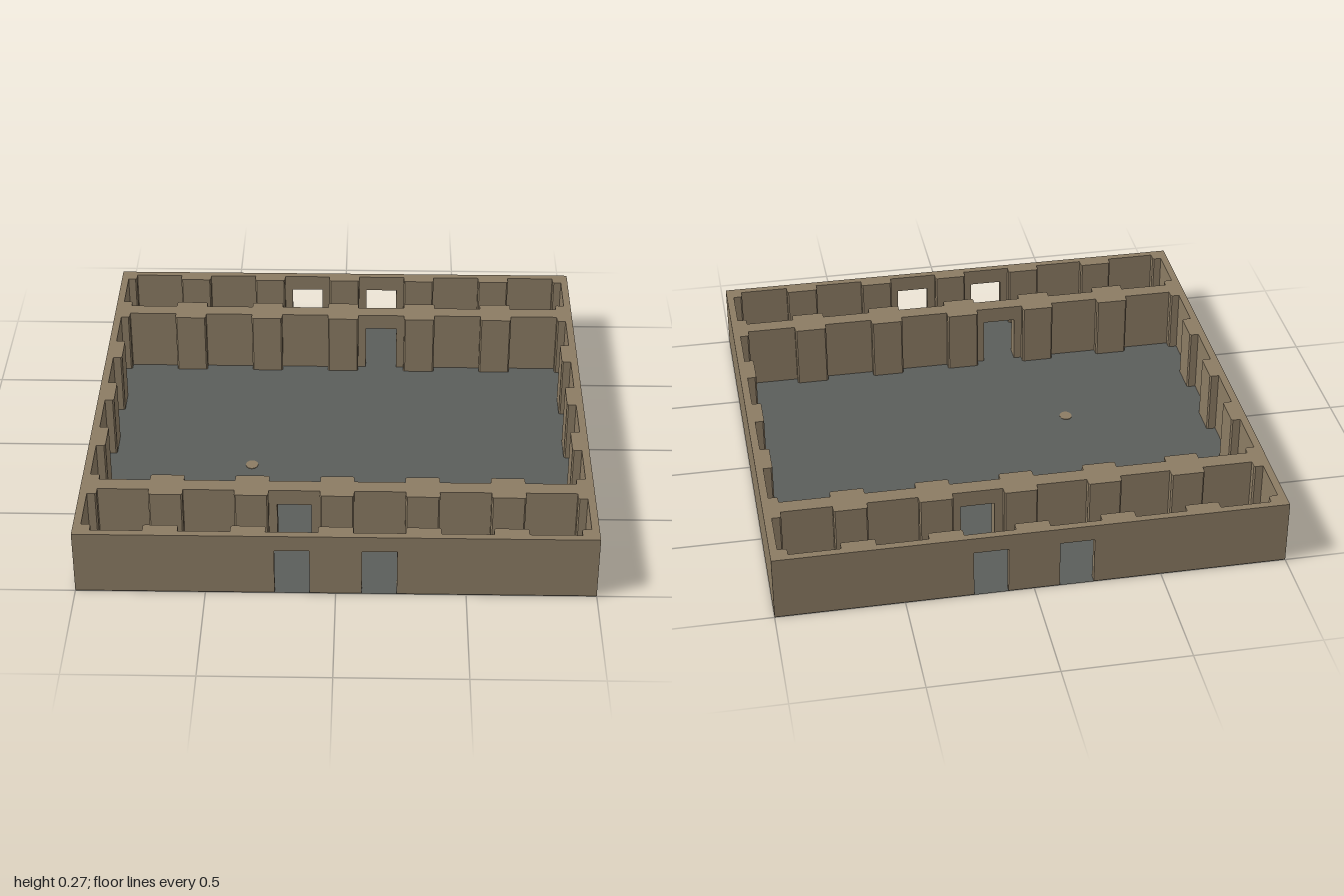
import * as THREE from 'three';

const HEIGHT = 0.267, BASE = 0.002, PITCH = 1 / 3;
const DOOR_X = 0.167, DOOR_HALF = 0.067, DOOR_TOP = 0.2;

export function createModel() {
  const group = new THREE.Group();
  const stone = new THREE.MeshStandardMaterial({ color: 0x8b7b63 });
  stone.name = 'sandy stone';
  const slate = new THREE.MeshStandardMaterial({ color: 0x5a5d5a, side: THREE.DoubleSide });
  slate.name = 'slate floor';

  const add = (name, geometry, material) => {
    const mesh = new THREE.Mesh(geometry, material);
    mesh.name = name;
    group.add(mesh);
    return mesh;
  };

  // Wall along x from z0 to z1, with doorways cut up from the ground
  const wall = (name, half, z0, z1, doors) => {
    const s = new THREE.Shape();
    s.moveTo(-half, BASE);
    for (const x of doors) {
      s.lineTo(x - DOOR_HALF, BASE);
      s.lineTo(x - DOOR_HALF, DOOR_TOP);
      s.lineTo(x + DOOR_HALF, DOOR_TOP);
      s.lineTo(x + DOOR_HALF, BASE);
    }
    s.lineTo(half, BASE);
    s.lineTo(half, HEIGHT);
    s.lineTo(-half, HEIGHT);
    s.closePath();
    const g = new THREE.ExtrudeGeometry(s, { depth: z1 - z0, bevelEnabled: false });
    return add(name, g.translate(0, 0, z0), stone);
  };

  // Upright pier with slightly chamfered corners, kept inside the outer walls
  const pier = (name, cx, cz) => {
    const r = 0.0667, c = 0.006, lim = 0.985;
    const clip = (v) => Math.max(-lim, Math.min(lim, v));
    const x0 = clip(cx - r), x1 = clip(cx + r), z0 = clip(cz - r), z1 = clip(cz + r);
    const s = new THREE.Shape([
      [x0 + c, -z1], [x1 - c, -z1], [x1, -z1 + c], [x1, -z0 - c],
      [x1 - c, -z0], [x0 + c, -z0], [x0, -z0 - c], [x0, -z1 + c],
    ].map(([x, y]) => new THREE.Vector2(x, y)));
    const g = new THREE.ExtrudeGeometry(s, { depth: HEIGHT - BASE, bevelEnabled: false });
    g.rotateX(-Math.PI / 2).translate(0, BASE, 0);
    add(name, g, stone);
  };

  // Floor slab
  const floor = new THREE.PlaneGeometry(2, 2).rotateX(-Math.PI / 2);
  add('floor', floor, slate);
  const patch = add('floorPatch', new THREE.CylinderGeometry(0.026, 0.026, 0.002, 12), stone);
  patch.scale.z = 1.15;
  patch.position.set(-0.365, 0.002, 0.14);

  // Outer walls: two doorways front and back, solid sides
  wall('frontWall', 1, 0.97, 1, [-DOOR_X, DOOR_X]);
  wall('backWall', 1, -1, -0.97, [-DOOR_X, DOOR_X]);
  for (const side of [-1, 1]) {
    const g = new THREE.BoxGeometry(0.03, HEIGHT - BASE, 1.96);
    g.translate(side * 0.985, (HEIGHT + BASE) / 2, 0);
    add(side > 0 ? 'leftWall' : 'rightWall', g, stone);
  }

  // Dividing walls, one doorway each on opposite sides
  wall('frontDividingWall', 0.98, 0.634, 0.699, [-DOOR_X]);
  wall('backDividingWall', 0.98, -0.699, -0.634, [DOOR_X]);

  // Piers at every third of a unit along all walls
  for (let i = -3; i <= 3; i++) {
    for (let j = -3; j <= 3; j++) {
      const onCrossWall = Math.abs(j) >= 2, onSideWall = Math.abs(i) === 3;
      if (onCrossWall || onSideWall) pier('pier', i * PITCH, j * PITCH);
    }
  }
  return group;
}
